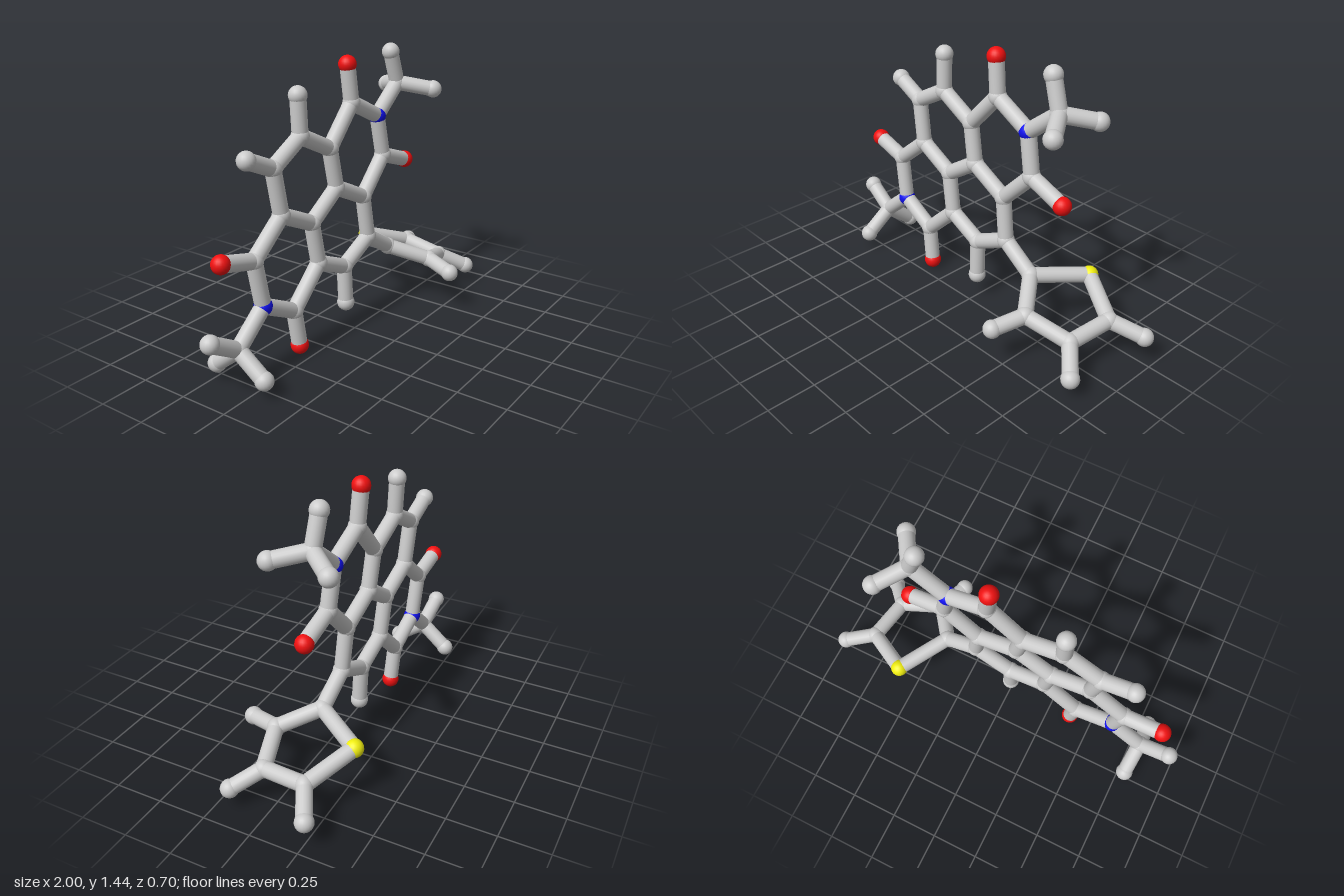
import * as THREE from 'three';

const ATOM_R = 0.046, BOND_R = 0.04;
const COLORS = { C: 0xcccccc, H: 0xcccccc, O: 0xf01010, N: 0x1010f0, S: 0xf0ee10 };
const NAMES = { C: 'carbonAtom', H: 'hydrogenAtom', O: 'oxygenAtom', N: 'nitrogenAtom', S: 'sulfurAtom' };

// Slightly tilted plane that holds the fused ring system
const planeZ = (x, y) => -0.0525 + 0.039 * x - 0.036 * y;

// Atoms: key -> [element, x, y, z]; z is taken from the plane when left out
const ATOMS = {
  // central double ring
  a: ['C', -0.495, 0.985], b: ['C', -0.297, 1.095], c: ['C', -0.083, 0.99], d: ['C', -0.045, 0.78],
  e: ['C', -0.243, 0.65], f: ['C', -0.457, 0.75], g: ['C', 0.174, 0.675], h: ['C', 0.205, 0.445],
  i: ['C', -0.003, 0.342], j: ['C', -0.206, 0.43],
  ha: ['H', -0.66, 1.06], hb: ['H', -0.3, 1.29], hi: ['H', 0, 0.14],
  // upper side ring
  k: ['C', 0.1, 1.185], ok: ['O', 0.078, 1.38], n1: ['N', 0.315, 1.08], l: ['C', 0.356, 0.86], ol: ['O', 0.56, 0.79],
  // lower side ring
  m: ['C', -0.655, 0.588], om: ['O', -0.858, 0.64], n2: ['N', -0.615, 0.35], n: ['C', -0.404, 0.245], on: ['O', -0.377, 0.05],
  // upper end group
  p: ['C', 0.5, 1.225], p1: ['H', 0.447, 1.395], p2: ['H', 0.618, 1.185, -0.218], p3: ['H', 0.607, 1.19, 0.083],
  // lower end group
  q: ['C', -0.794, 0.2], q1: ['H', -0.955, 0.294, -0.105], q2: ['H', -0.784, 0.083, -0.238], q3: ['H', -0.795, 0.092, 0.062],
  // five-sided side ring
  t: ['C', 0.39, 0.33, -0.05], s: ['S', 0.557, 0.295, -0.307], u: ['C', 0.795, 0.21, -0.175],
  v: ['C', 0.757, 0.185, 0.065], w: ['C', 0.53, 0.25, 0.132],
  hu: ['H', 0.95, 0.15, -0.26], hv: ['H', 0.87, 0.105, 0.185], hw: ['H', 0.472, 0.225, 0.297],
};

// Bonds per part, as chains of atom keys
const PARTS = {
  centralRings: ['a b c d e f a', 'd g h i j e', 'a ha', 'b hb', 'i hi'],
  upperSideRing: ['c k n1 l g', 'k ok', 'l ol'],
  lowerSideRing: ['f m n2 n j', 'm om', 'n on'],
  upperEndGroup: ['n1 p p1', 'p2 p p3'],
  lowerEndGroup: ['n2 q q1', 'q2 q q3'],
  fiveSidedRing: ['h t s u v w t', 'u hu', 'v hv', 'w hw'],
};

export function createModel() {
  const model = new THREE.Group();
  model.name = 'molecule';
  const materials = {};
  for (const el in COLORS) materials[el] = new THREE.MeshStandardMaterial({ color: COLORS[el] });
  const sphere = new THREE.SphereGeometry(ATOM_R, 20, 14);
  const stick = new THREE.CylinderGeometry(BOND_R, BOND_R, 1, 20, 1, true);
  const up = new THREE.Vector3(0, 1, 0);

  const position = (key) => {
    const [, x, y, z = planeZ(x, y)] = ATOMS[key];
    return new THREE.Vector3(x, y, z);
  };

  // A stick between two atoms
  const bond = (from, to) => {
    const p = position(from), dir = position(to).sub(p);
    const mesh = new THREE.Mesh(stick, materials.C);
    mesh.name = 'bond';
    mesh.position.copy(p).addScaledVector(dir, 0.5);
    mesh.scale.y = dir.length();
    mesh.quaternion.setFromUnitVectors(up, dir.normalize());
    return mesh;
  };

  const placed = new Set();
  for (const [name, chains] of Object.entries(PARTS)) {
    const part = new THREE.Group();
    part.name = name;
    for (const chain of chains) {
      const keys = chain.split(' ');
      keys.forEach((key, n) => {
        if (n > 0) part.add(bond(keys[n - 1], key));
        if (placed.has(key)) return;
        placed.add(key);
        const el = ATOMS[key][0];
        const atom = new THREE.Mesh(sphere, materials[el]);
        atom.name = NAMES[el];
        atom.position.copy(position(key));
        part.add(atom);
      });
    }
    model.add(part);
  }
  return model;
}
